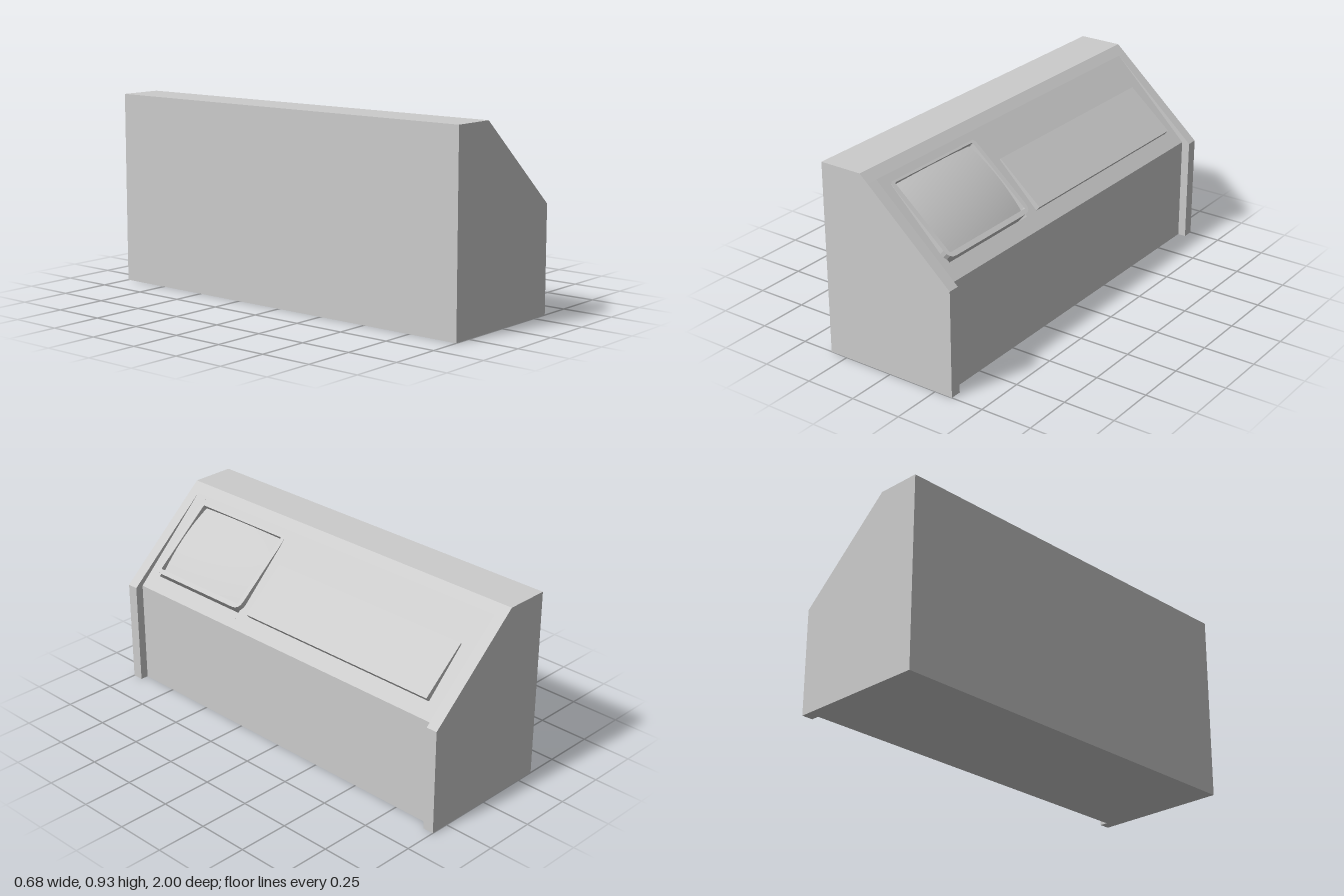
import * as THREE from 'three';

const grey = new THREE.MeshStandardMaterial({ color: 0xcccccc });
const part = (name, geometry) => {
  const mesh = new THREE.Mesh(geometry, grey);
  mesh.name = name;
  return mesh;
};

// Side profile (x, y) swept from z0 to z1
function slab(name, points, z0, z1) {
  const shape = new THREE.Shape(points.map(([x, y]) => new THREE.Vector2(x, y)));
  const geometry = new THREE.ExtrudeGeometry(shape, { depth: z1 - z0, bevelEnabled: false });
  geometry.translate(0, 0, z0);
  return part(name, geometry);
}

function roundedRect(w, h, r) {
  const s = new THREE.Shape();
  const x = w / 2, y = h / 2;
  s.moveTo(-x + r, -y);
  s.lineTo(x - r, -y).quadraticCurveTo(x, -y, x, -y + r);
  s.lineTo(x, y - r).quadraticCurveTo(x, y, x - r, y);
  s.lineTo(-x + r, y).quadraticCurveTo(-x, y, -x, y - r);
  s.lineTo(-x, -y + r).quadraticCurveTo(-x, -y, -x + r, -y);
  return s;
}

// Group lying on the desk slope: local x = -z, local y = up the slope, local z = outwards
function onSlope(name, x, y, z) {
  const group = new THREE.Group();
  const up = new THREE.Vector3(-0.761, 0.649, 0).normalize();
  const out = new THREE.Vector3(-up.x === 0 ? 0 : up.y, -up.x, 0);
  const side = new THREE.Vector3().crossVectors(up, out);
  group.quaternion.setFromRotationMatrix(new THREE.Matrix4().makeBasis(side, up, out));
  group.position.set(x, y, z);
  group.name = name;
  return group;
}

export function createModel() {
  const model = new THREE.Group();
  model.name = 'controlConsole';

  // End panels, standing proud of the body
  const back = [[-0.34, 0.925], [-0.34, 0]];
  const crest = [[-0.085, 0.888], [-0.127, 0.925]];
  const endProfile = [[0.34, 0], [0.34, 0.51], ...crest, ...back];
  for (const s of [-1, 1]) {
    const [z0, z1] = s > 0 ? [0.945, 1] : [-1, -0.945];
    model.add(slab(s > 0 ? 'leftEndPanel' : 'rightEndPanel', endProfile, z0, z1));
  }

  // Body in three lengths, the middle one notched for the screen well
  const front = [[0.3, 0], [0.3, 0.51]];
  const notch = [[0.244, 0.5653], [0.195, 0.525], [-0.115, 0.79], [-0.055, 0.8585]];
  const body = new THREE.Group();
  body.name = 'body';
  body.add(
    slab('bodyRight', [...front, ...crest, ...back], -0.945, 0.314),
    slab('bodyScreenBay', [...front, ...notch, ...crest, ...back], 0.314, 0.876),
    slab('bodyLeft', [...front, ...crest, ...back], 0.876, 0.945)
  );
  model.add(body);

  // Screen frame with rounded corners and a rectangular opening
  const monitor = onSlope('monitor', 0.095, 0.731, 0.595);
  const w = 0.59, h = 0.428, rim = 0.024, depth = 0.06;
  const frame = roundedRect(w, h, 0.045);
  frame.holes.push(roundedRect(w - 2 * rim, h - 2 * rim, 0.006));
  const frameGeometry = new THREE.ExtrudeGeometry(frame, { depth, bevelEnabled: false, curveSegments: 4 });
  frameGeometry.translate(0, 0, -depth);
  monitor.add(part('screenFrame', frameGeometry));

  // Bulging glass
  const sw = w - 2 * rim, sh = h - 2 * rim;
  const glass = new THREE.PlaneGeometry(sw, sh, 16, 16);
  const p = glass.attributes.position;
  for (let i = 0; i < p.count; i++) {
    const u = p.getX(i) / (sw / 2), v = p.getY(i) / (sh / 2);
    p.setZ(i, 0.004 - 0.012 * u * u - 0.02 * v * v);
  }
  glass.computeVertexNormals();
  monitor.add(part('screenGlass', glass));
  model.add(monitor);

  // Raised control plate beside the screen
  const controls = onSlope('controls', 0.1525, 0.679, -0.315);
  const plate = new THREE.BoxGeometry(1.11, 0.283, 0.05);
  plate.translate(0, 0, -0.025);
  controls.add(part('controlPlate', plate));
  model.add(controls);

  return model;
}
